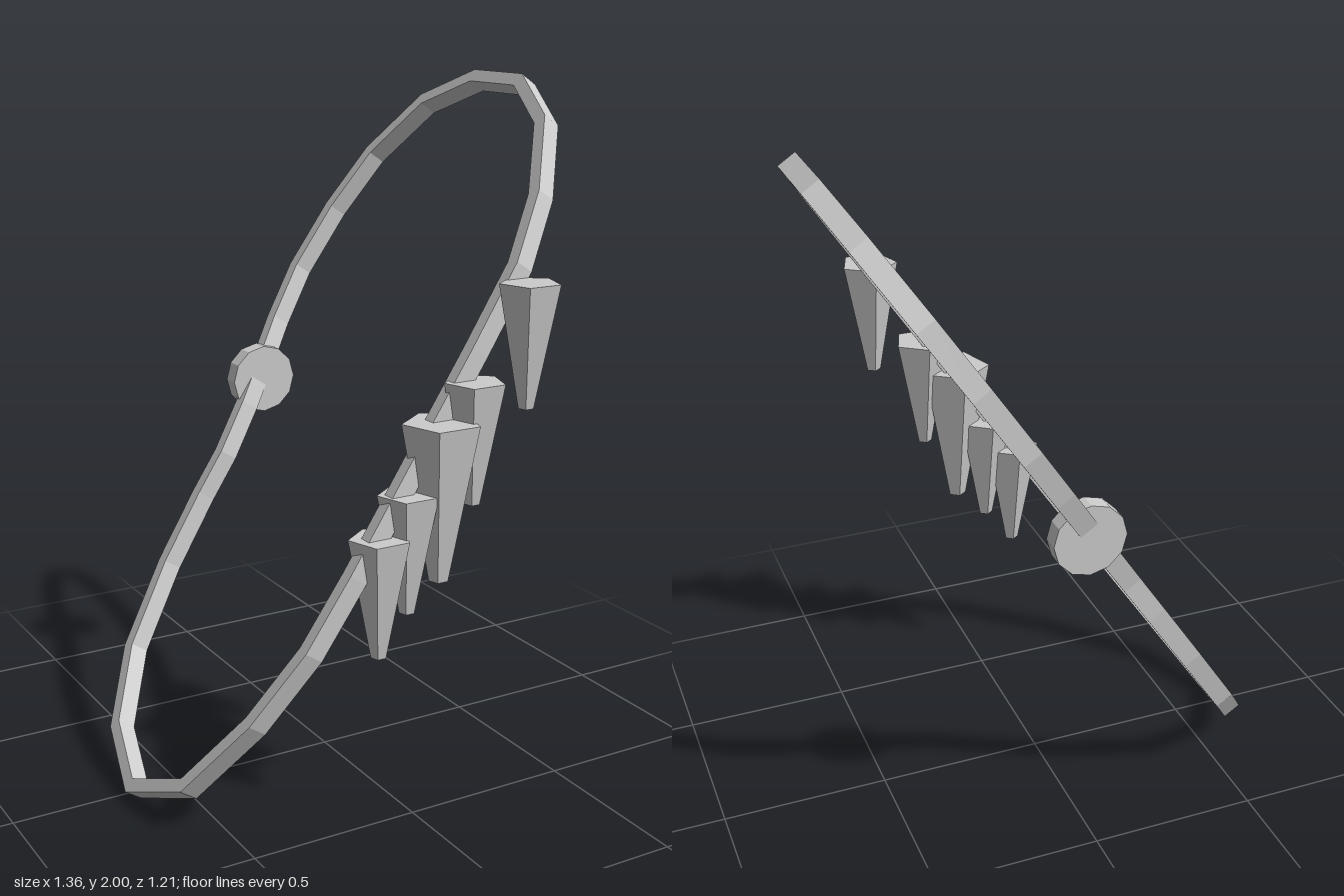
import * as THREE from 'three';

const metal = new THREE.MeshStandardMaterial({ color: 0xcccccc });
metal.name = 'light grey metal';

// Loop centre line as [x, z]; it lies in the tilted plane y = 1 + 1.5 x
const LOOP = [
  [0.644, 0.045], [0.644, -0.185], [0.59, -0.385], [0.48, -0.52], [0.365, -0.573], [0.242, -0.586],
  [0.14, -0.55], [0.06, -0.505], [-0.02, -0.463], [-0.113, -0.43], [-0.193, -0.427], [-0.325, -0.405],
  [-0.475, -0.337], [-0.59, -0.185], [-0.645, 0.045], [-0.585, 0.272], [-0.445, 0.405], [-0.31, 0.47],
  [-0.18, 0.478], [0, 0.472], [0.2, 0.466], [0.345, 0.455], [0.46, 0.385], [0.58, 0.24],
];

function flat(geometry) {
  const g = geometry.index ? geometry.toNonIndexed() : geometry;
  g.computeVertexNormals();
  return g;
}

function part(name, geometry, x = 0, y = 0, z = 0) {
  const mesh = new THREE.Mesh(flat(geometry), metal);
  mesh.name = name;
  mesh.position.set(x, y, z);
  return mesh;
}

// Mitred offset of a closed polygon
function offset(points, distance) {
  const n = points.length;
  return points.map((p, i) => {
    const a = p.clone().sub(points[(i + n - 1) % n]).normalize();
    const b = points[(i + 1) % n].clone().sub(p).normalize();
    const normal = new THREE.Vector2(-a.y - b.y, a.x + b.x).normalize();
    const scale = distance / (-normal.x * a.y + normal.y * a.x);
    return p.clone().addScaledVector(normal, scale);
  });
}

// Flat band of rectangular section, extruded across the tilted plane
function bandGeometry() {
  const slope = Math.hypot(1, 1.5), width = 0.058, half = 0.0195;
  const line = LOOP.map(([x, z]) => new THREE.Vector2(x * slope, z));
  const shape = new THREE.Shape(offset(line, half));
  // The hole runs the opposite way round so its wall faces inwards
  shape.holes.push(new THREE.Path(offset(line, -half).reverse()));
  const g = new THREE.ExtrudeGeometry(shape, { depth: width, bevelEnabled: false });
  g.translate(0, 0, -width / 2);
  const along = new THREE.Vector3(1, 1.5, 0).normalize();
  const across = new THREE.Vector3(0, 0, 1);
  const normal = along.clone().cross(across);
  return g.applyMatrix4(new THREE.Matrix4().makeBasis(along, across, normal));
}

export function createModel() {
  const model = new THREE.Group();
  model.name = 'spikedNecklace';
  model.add(part('band', bandGeometry(), 0, 1, 0));

  // Round clasp at the back
  const clasp = new THREE.CylinderGeometry(0.105, 0.105, 0.053, 12).rotateX(Math.PI / 2);
  model.add(part('clasp', clasp, 0.046, 1.045, -0.494));

  // Five-sided hanging spikes: x, z, top y, bottom y, top radius
  const spikes = [
    [0.323, 0.533, 1.49, 1.145, 0.086],
    [0.177, 0.5, 1.23, 0.887, 0.086],
    [0.076, 0.494, 1.13, 0.682, 0.11],
    [-0.015, 0.478, 0.94, 0.6, 0.087],
    [-0.104, 0.478, 0.83, 0.487, 0.087],
  ];
  spikes.forEach(([x, z, top, bottom, r], i) => {
    const g = new THREE.CylinderGeometry(r, r * 0.25, top - bottom, 5, 1, false, Math.PI);
    model.add(part('spike' + (i + 1), g, x, (top + bottom) / 2, z));
  });
  return model;
}
